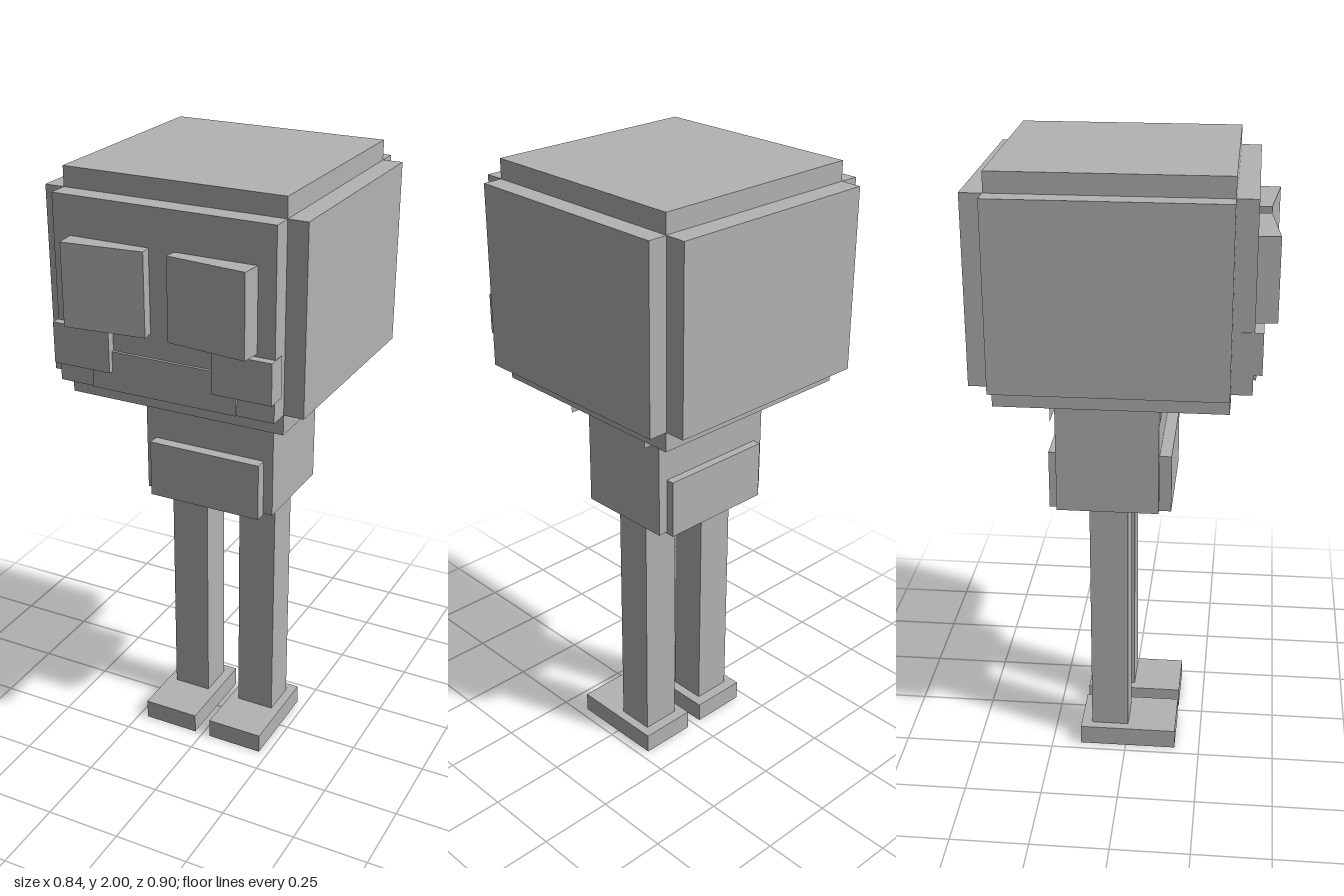
import * as THREE from 'three';

export function createModel() {
  const model = new THREE.Group();
  model.name = 'blockFigure';
  const grey = new THREE.MeshStandardMaterial({ color: 0xb3b3b3, side: THREE.DoubleSide });
  grey.name = 'plainGrey';

  // Box given by its extents along each axis
  function box(name, [x0, x1], [y0, y1], [z0, z1], parent = model) {
    const mesh = new THREE.Mesh(new THREE.BoxGeometry(x1 - x0, y1 - y0, z1 - z0), grey);
    mesh.position.set((x0 + x1) / 2, (y0 + y1) / 2, (z0 + z1) / 2);
    mesh.name = name;
    parent.add(mesh);
    return mesh;
  }

  // Head: three crossed blocks that leave stepped edges
  const head = new THREE.Group();
  head.name = 'head';
  model.add(head);
  box('headTall', [-0.355, 0.355], [1.297, 2], [-0.383, 0.322], head);
  box('headDeep', [-0.355, 0.355], [1.36, 1.938], [-0.452, 0.386], head);
  box('headWide', [-0.418, 0.418], [1.36, 1.938], [-0.385, 0.322], head);
  box('mouth', [-0.237, 0.237], [1.362, 1.487], [0.38, 0.395], head);

  // Collar flaps hanging under the head, in front of and behind the torso
  for (const [name, z] of [['frontCollar', 0.112], ['backCollar', -0.222]]) {
    const flap = new THREE.Mesh(new THREE.PlaneGeometry(0.578, 0.08), grey);
    flap.position.set(0, 1.265, z);
    flap.name = name;
    model.add(flap);
  }

  // Torso and hips
  box('torso', [-0.225, 0.225], [0.895, 1.28], [-0.217, 0.106]);
  box('hips', [-0.193, 0.193], [0.89, 1.08], [-0.244, 0.144]);

  // Mirrored parts
  for (const [side, s] of [['left', 1], ['right', -1]]) {
    const span = (a, b) => (s > 0 ? [a, b] : [-b, -a]);

    // Bulging eye, turned slightly inward
    const eye = new THREE.Mesh(new THREE.BoxGeometry(0.257, 0.256, 0.1), grey);
    eye.position.set(s * 0.17, 1.69, 0.388);
    eye.rotation.y = -s * 0.105;
    eye.name = side + 'Eye';
    head.add(eye);

    box(side + 'Cheek', span(0.168, 0.358), [1.424, 1.553], [0.347, 0.412], head);
    box(side + 'Leg', span(0.06, 0.189), [0.065, 0.895], [-0.117, 0.006]);
    box(side + 'Foot', span(0.028, 0.219), [0, 0.066], [-0.153, 0.167]);
  }
  return model;
}
